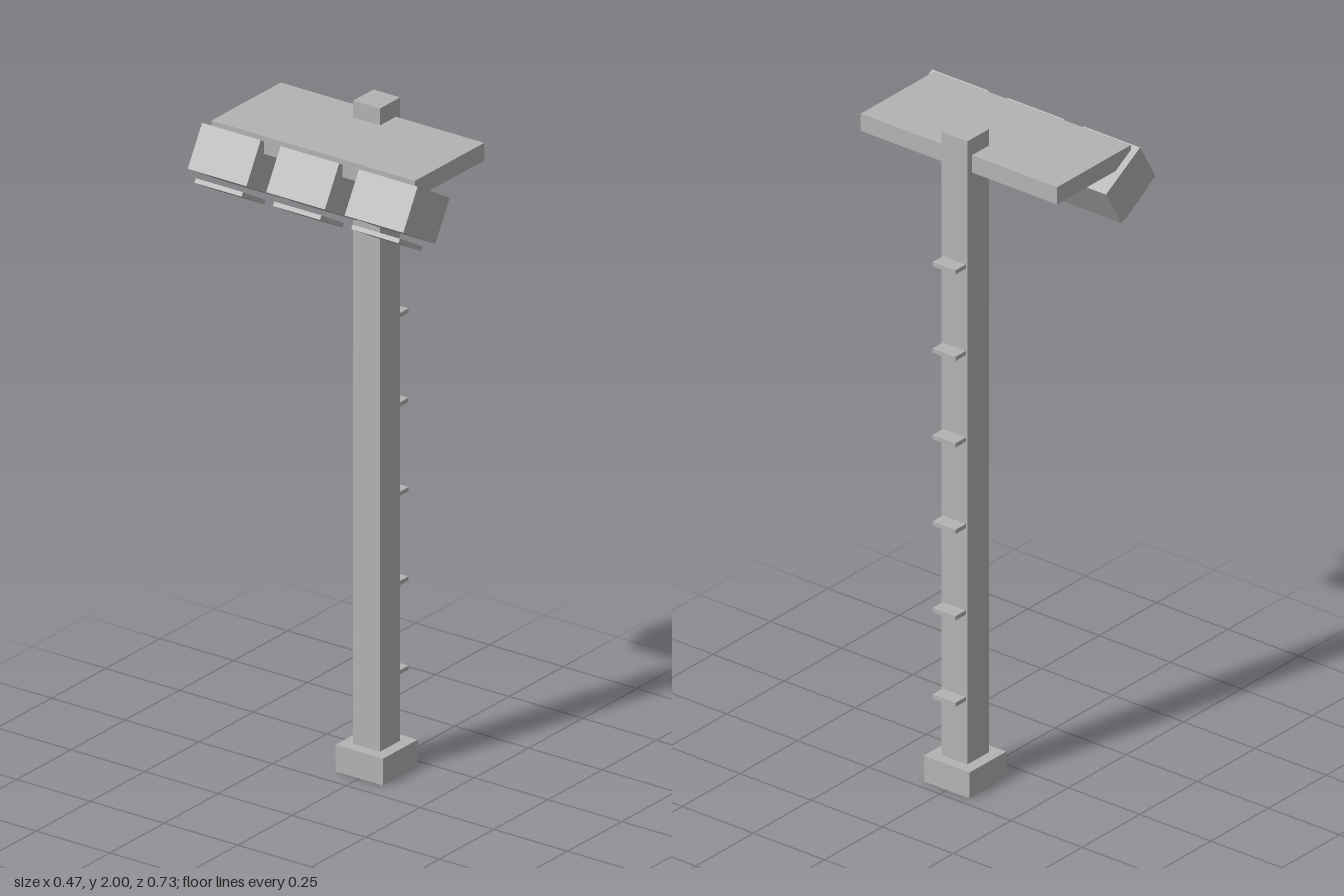
import * as THREE from 'three';

export function createModel() {
  const group = new THREE.Group();
  group.name = 'floodlightMast';
  const grey = new THREE.MeshStandardMaterial({ color: 0xb3b3b3 });
  grey.name = 'grey';

  const box = (name, parent, [w, h, d], [x, y, z]) => {
    const mesh = new THREE.Mesh(new THREE.BoxGeometry(w, h, d), grey);
    mesh.name = name;
    mesh.position.set(x, y, z);
    parent.add(mesh);
    return mesh;
  };

  // Footing, mast and top platform
  box('base', group, [0.16, 0.08, 0.16], [0.14, 0.04, 0]);
  box('pole', group, [0.093, 2, 0.091], [0.14, 1, 0]);
  box('platform', group, [0.32, 0.053, 0.69], [0.007, 1.923, 0]);

  // Climbing rungs up the side of the mast
  for (let i = 0; i < 6; i++) {
    box('rung', group, [0.06, 0.013, 0.08], [0.202, 0.28 + i * 0.2665, 0]);
  }

  // Three tilted lamps, each with a separate lens plate below
  for (const z of [-0.266, 0, 0.266]) {
    const lamp = new THREE.Group();
    lamp.name = 'lamp';
    lamp.position.set(-0.127, 1.843, z);
    lamp.rotation.z = -Math.PI / 6;
    box('lampHousing', lamp, [0.171, 0.132, 0.199], [0, 0, 0]);
    box('lampLens', lamp, [0.12, 0.013, 0.16], [-0.003, -0.09, 0]);
    group.add(lamp);
  }
  return group;
}
